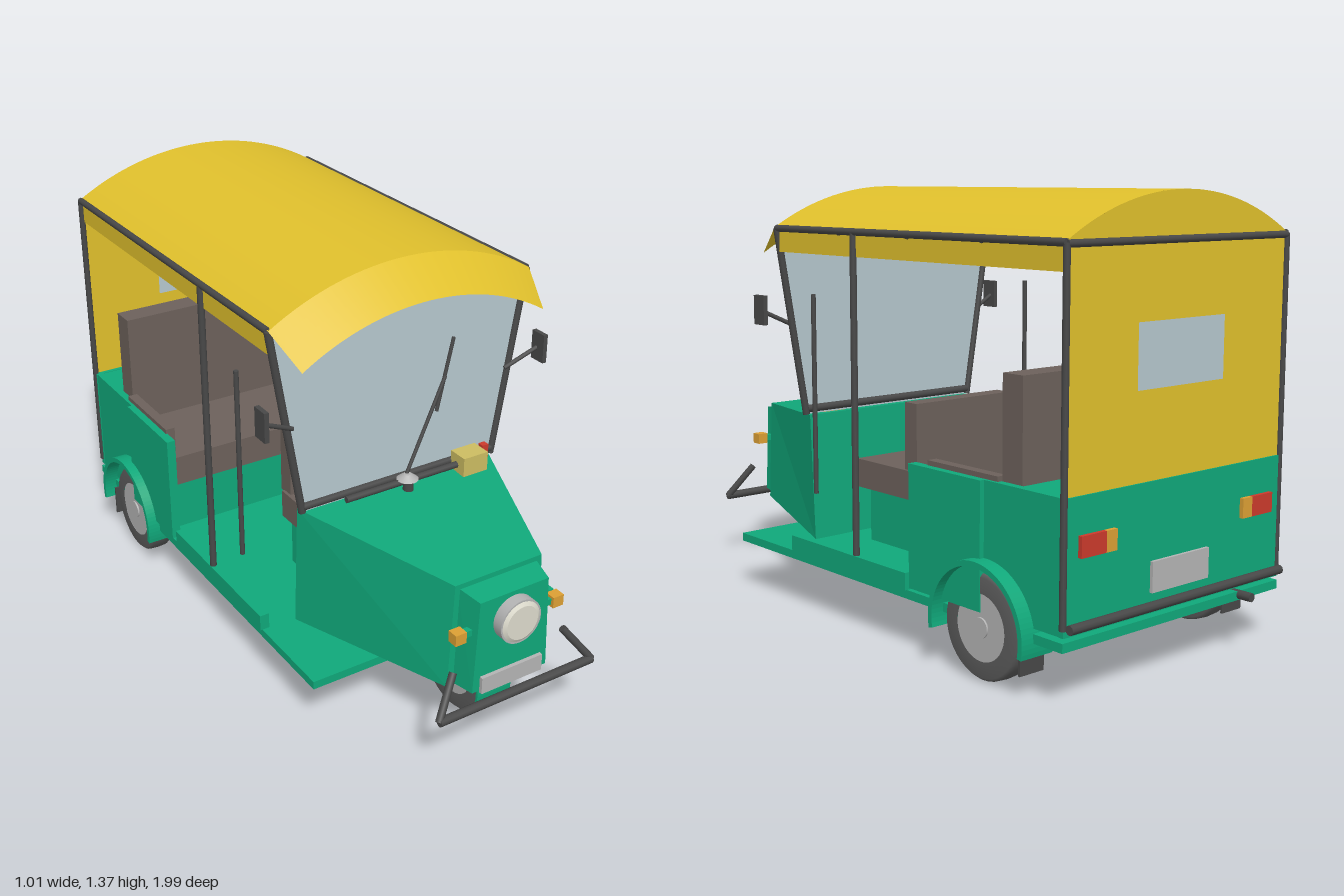
import * as THREE from 'three';
import { ParametricGeometry } from 'three/addons/geometries/ParametricGeometry.js';

const mat = (color, side = THREE.FrontSide) => new THREE.MeshStandardMaterial({ color, side });
const green = mat(0x10a87a), yellow = mat(0xe0c02c, THREE.DoubleSide), dark = mat(0x484848);
const seatBrown = mat(0x6c615b), glass = mat(0xb6c8ce, THREE.DoubleSide), tyreGrey = mat(0x5c5c5c);
const metal = mat(0xb4b4b4), amber = mat(0xdca034), red = mat(0xcc3a2c), lens = mat(0xdcdacc), meterTan = mat(0xccbc62);

export function createModel() {
  const model = new THREE.Group();

  const add = (name, geometry, material) => {
    const mesh = new THREE.Mesh(geometry, material);
    mesh.name = name;
    model.add(mesh);
    return mesh;
  };
  // Box given by its extents
  const box = (name, material, x0, x1, y0, y1, z0, z1) =>
    add(name, new THREE.BoxGeometry(x1 - x0, y1 - y0, z1 - z0)
      .translate((x0 + x1) / 2, (y0 + y1) / 2, (z0 + z1) / 2), material);
  // Same box on both sides
  const boxPair = (name, material, x0, x1, ...rest) => {
    box(name + 'Left', material, x0, x1, ...rest);
    box(name + 'Right', material, -x1, -x0, ...rest);
  };
  // Round bar between two points
  const bar = (name, a, b, r = 0.01, material = dark) => {
    const p = new THREE.Vector3(...a), q = new THREE.Vector3(...b), d = q.clone().sub(p);
    const mesh = add(name, new THREE.CylinderGeometry(r, r, d.length(), 10), material);
    mesh.position.copy(p).add(q).multiplyScalar(0.5);
    mesh.quaternion.setFromUnitVectors(new THREE.Vector3(0, 1, 0), d.normalize());
  };
  const barPair = (name, a, b, r) => {
    bar(name + 'Left', a, b, r);
    bar(name + 'Right', [-a[0], a[1], a[2]], [-b[0], b[1], b[2]], r);
  };
  // Faceted hull through four-cornered sections [zTop, wTop, yTop, zBottom, wBottom, yBottom], back to front
  const hull = (name, sections, material) => {
    const pos = [], idx = [], n = sections.length;
    sections.forEach(([zt, wt, yt, zb, wb, yb]) => pos.push(wt, yt, zt, -wt, yt, zt, -wb, yb, zb, wb, yb, zb));
    for (let i = 0; i < n - 1; i++) for (let j = 0; j < 4; j++) {
      const a = i * 4 + j, b = i * 4 + (j + 1) % 4;
      idx.push(a, b, b + 4, a, b + 4, a + 4);
    }
    const f = (n - 1) * 4;
    idx.push(f, f + 1, f + 2, f, f + 2, f + 3, 0, 2, 1, 0, 3, 2);
    const indexed = new THREE.BufferGeometry();
    indexed.setAttribute('position', new THREE.Float32BufferAttribute(pos, 3));
    indexed.setIndex(idx);
    const geometry = indexed.toNonIndexed();
    geometry.computeVertexNormals();
    add(name, geometry, material);
  };

  // Floor and steps
  box('floor', green, -0.46, 0.46, 0.16, 0.187, -0.95, 0.6);
  boxPair('step', green, 0.435, 0.467, 0.187, 0.24, -0.3, 0.29);

  // Front cowl and nose
  hull('cowl', [[0.337, 0.355, 0.62, 0.315, 0.355, 0.203], [0.87, 0.155, 0.575, 0.87, 0.17, 0.228]], green);
  hull('nose', [[0.86, 0.14, 0.56, 0.86, 0.15, 0.235], [0.945, 0.122, 0.548, 0.945, 0.135, 0.24]], green);
  add('headlightRim', new THREE.CylinderGeometry(0.072, 0.072, 0.04, 32).rotateX(Math.PI / 2).translate(0, 0.462, 0.96), metal);
  add('headlightLens', new THREE.CylinderGeometry(0.055, 0.068, 0.008, 32).rotateX(Math.PI / 2).translate(0, 0.462, 0.983), lens);
  box('frontPlate', metal, -0.11, 0.11, 0.235, 0.29, 0.945, 0.957);
  boxPair('indicator', amber, 0.157, 0.195, 0.422, 0.458, 0.9, 0.935);
  boxPair('indicatorStalk', green, 0.12, 0.158, 0.43, 0.45, 0.905, 0.925);
  bar('frontBumper', [-0.28, 0.225, 0.985], [0.28, 0.225, 0.985], 0.014);
  barPair('bumperArm', [0.28, 0.225, 0.985], [0.2, 0.335, 0.935], 0.012);

  // Windscreen with its frame
  const screen = new THREE.Shape([[-0.35, 0.62], [0.35, 0.62], [0.45, 1.23], [-0.45, 1.23]].map(p => new THREE.Vector2(...p)));
  add('windscreen', new THREE.ShapeGeometry(screen).translate(0, 0, 0.362), glass);
  barPair('frontPillar', [0.352, 0.62, 0.362], [0.455, 1.235, 0.362], 0.012);
  bar('windscreenSill', [-0.35, 0.638, 0.362], [0.35, 0.638, 0.362], 0.013);

  // Wiper
  bar('wiperRail', [-0.22, 0.64, 0.4], [0.22, 0.64, 0.4], 0.011);
  add('wiperMotor', new THREE.CylinderGeometry(0.017, 0.017, 0.04, 16).translate(0, 0.632, 0.41), dark);
  add('wiperCap', new THREE.CylinderGeometry(0.012, 0.035, 0.018, 16).translate(0, 0.658, 0.405), metal);
  bar('wiperArm', [0, 0.665, 0.4], [0.145, 0.955, 0.385], 0.006);
  bar('wiperBlade', [0.12, 0.84, 0.38], [0.175, 1.075, 0.38], 0.006);

  // Fare meter
  box('meter', meterTan, 0.19, 0.282, 0.613, 0.677, 0.37, 0.44);
  box('meterFlag', red, 0.282, 0.305, 0.64, 0.685, 0.39, 0.412);

  // Mirrors
  boxPair('mirror', dark, 0.492, 0.507, 0.925, 1.02, 0.368, 0.425);
  barPair('mirrorStalk', [0.385, 0.915, 0.37], [0.495, 0.968, 0.39], 0.007);

  // Cabin frame
  barPair('middlePillar', [0.455, 0.23, -0.045], [0.455, 1.235, -0.045], 0.011);
  barPair('grabPole', [0.455, 0.4, 0.165], [0.455, 1.035, 0.165], 0.008);
  barPair('rearPillar', [0.455, 0.22, -0.945], [0.455, 1.235, -0.945], 0.01);
  barPair('roofRail', [0.455, 1.235, 0.362], [0.455, 1.235, -0.945], 0.011);
  [0.362, 0.03, -0.3, -0.62, -0.945].forEach((z, i) => bar('roofCrossbar' + i, [-0.455, 1.232, z], [0.455, 1.232, z], 0.011));

  // Canvas roof: circular arc, sloping visor, side valances
  const arcY = (x, half, y0, rise) => {
    const r = (half * half + rise * rise) / (2 * rise);
    return y0 + rise - r + Math.sqrt(r * r - x * x);
  };
  // Strip between two arcs [halfWidth, edgeHeight, rise, z]
  const canvas = (name, a, b) => add(name, new ParametricGeometry((u, v, target) => {
    const [h, y, s, z] = a.map((n, i) => n + (b[i] - n) * v);
    const x = (u * 2 - 1) * h;
    target.set(x, arcY(x, h, y, s), z);
  }, 32, 4), yellow);
  const edge = [0.458, 1.238, 0.128];
  canvas('roof', [...edge, -0.945], [...edge, 0.37]);
  canvas('visor', [...edge, 0.37], [0.422, 1.15, 0.122, 0.492]);
  boxPair('valance', yellow, 0.447, 0.452, 1.16, 1.235, -0.945, 0.355);

  // Rear curtain with window
  const curtain = new THREE.Shape().moveTo(-0.455, 0.57).lineTo(0.455, 0.57);
  for (let i = 0; i <= 32; i++) {
    const x = 0.455 * (1 - i / 16);
    curtain.lineTo(x, arcY(x, ...edge));
  }
  const hole = new THREE.Path([[-0.18, 0.83], [-0.18, 1.015], [0.18, 1.015], [0.18, 0.83]].map(p => new THREE.Vector2(...p)));
  curtain.holes.push(hole);
  add('rearCurtain', new THREE.ShapeGeometry(curtain).translate(0, 0, -0.945), yellow);
  add('rearWindow', new THREE.PlaneGeometry(0.36, 0.185).translate(0, 0.9225, -0.945), glass);

  // Rear body
  boxPair('sidePanelFront', green, 0.44, 0.47, 0.2, 0.575, -0.635, -0.322);
  boxPair('sidePanelRear', green, 0.43, 0.455, 0.2, 0.575, -0.945, -0.635);
  box('rearWall', green, -0.457, 0.457, 0.2, 0.575, -0.95, -0.93);
  box('rearDeck', green, -0.43, 0.43, 0.555, 0.573, -0.935, -0.75);

  // Seats
  box('driverCushion', seatBrown, -0.21, 0.21, 0.37, 0.465, -0.01, 0.275);
  box('driverBackrest', seatBrown, -0.2, 0.2, 0.46, 0.685, -0.03, 0.03);
  box('driverSeatBase', green, -0.18, 0.18, 0.187, 0.37, 0, 0.24);
  box('passengerSeatBase', green, -0.44, 0.44, 0.187, 0.38, -0.7, -0.4);
  box('passengerCushion', seatBrown, -0.44, 0.44, 0.38, 0.485, -0.7, -0.36);
  box('passengerBackrest', seatBrown, -0.428, 0.428, 0.48, 0.875, -0.76, -0.68);
  boxPair('armrest', seatBrown, 0.412, 0.445, 0.5, 0.59, -0.68, -0.38);

  // Tail lights, plate, bumper, exhaust
  boxPair('tailLight', red, 0.31, 0.405, 0.41, 0.47, -0.963, -0.948);
  boxPair('rearIndicator', amber, 0.268, 0.31, 0.41, 0.47, -0.963, -0.948);
  box('rearPlate', metal, -0.12, 0.12, 0.26, 0.35, -0.96, -0.948);
  bar('rearBumper', [-0.45, 0.225, -0.965], [0.45, 0.225, -0.965], 0.014);
  bar('exhaust', [-0.28, 0.176, -0.85], [-0.28, 0.176, -0.995], 0.014);

  // Wheels
  const wheel = (name, x, z, w) => {
    const profile = [[0.098, -w], [0.145, -w], [0.154, -w * 0.75], [0.156, 0], [0.154, w * 0.75], [0.145, w], [0.098, w]];
    const tyre = new THREE.LatheGeometry(profile.map(p => new THREE.Vector2(...p)), 40);
    add(name + 'Tyre', tyre.rotateZ(Math.PI / 2).translate(x, 0.156, z), tyreGrey);
    const disc = (part, r, t) => add(name + part,
      new THREE.CylinderGeometry(r, r, t, 32).rotateZ(Math.PI / 2).translate(x, 0.156, z), metal);
    disc('Rim', 0.1, w * 1.9);
    disc('Hub', 0.03, w * 2.2);
  };
  // Arched mudguard over a wheel
  const mudguard = (name, x0, x1, z, inner, outer) => {
    const s = new THREE.Shape(), a = -0.2, b = Math.PI + 0.2;
    s.absarc(0, 0, outer, a, b, false);
    s.absarc(0, 0, inner, b, a, true);
    const g = new THREE.ExtrudeGeometry(s, { depth: x1 - x0, bevelEnabled: false, curveSegments: 24 });
    add(name, g.rotateY(Math.PI / 2).translate(x0, 0.158, z), green);
  };
  wheel('frontWheel', 0, 0.71, 0.036);
  mudguard('frontMudguard', -0.062, 0.062, 0.71, 0.162, 0.17);
  barPair('fork', [0.05, 0.156, 0.71], [0.05, 0.27, 0.68], 0.01);
  for (const [side, s] of [['Left', 1], ['Right', -1]]) {
    wheel('rearWheel' + side, s * 0.43, -0.637, 0.038);
    mudguard('rearMudguard' + side, s > 0 ? 0.385 : -0.503, s > 0 ? 0.503 : -0.385, -0.645, 0.18, 0.196);
  }
  boxPair('mudFlap', dark, 0.385, 0.475, 0.06, 0.165, -0.805, -0.798);

  return model;
}
